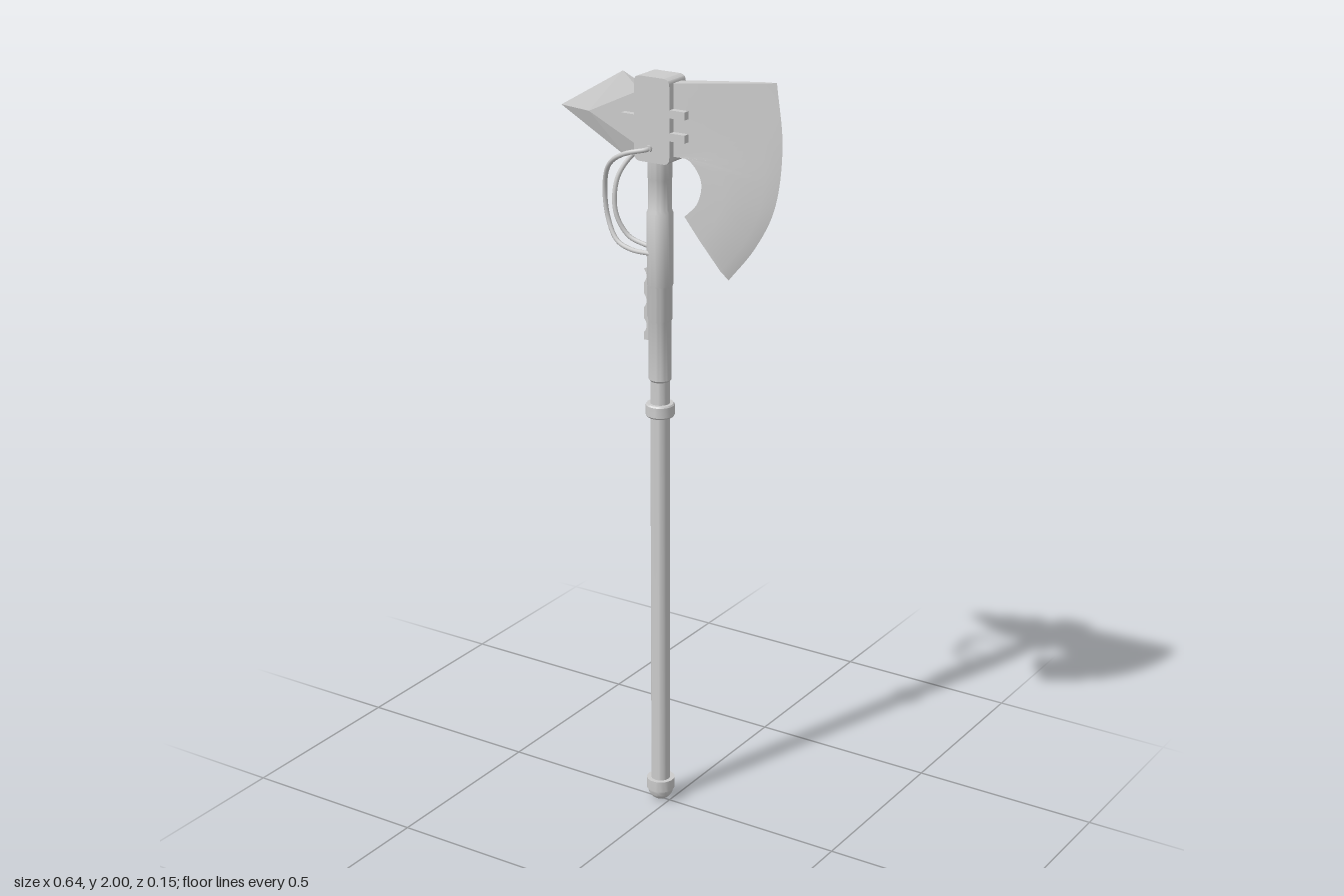
import * as THREE from 'three';
import { toCreasedNormals } from 'three/addons/utils/BufferGeometryUtils.js';
import { ConvexGeometry } from 'three/addons/geometries/ConvexGeometry.js';

const AXIS = -0.028; // x of the handle's centre line
const V2 = (x, y) => new THREE.Vector2(x, y);
const V3 = (x, y, z) => new THREE.Vector3(x, y, z);

// Lofted blade: thick at the socket, thinning to a bevelled cutting edge
function bladeGeometry() {
  const inner = new THREE.CatmullRomCurve3([[0, 1.965], [0, 1.795], [0.068, 1.782], [0.102, 1.735], [0.092, 1.68], [0.055, 1.64]]
    .map(([x, y]) => V3(x, y, 0)));
  const outer = new THREE.CatmullRomCurve3([[0.30, 2.0], [0.318, 1.845], [0.298, 1.69], [0.245, 1.585], [0.172, 1.493]]
    .map(([x, y]) => V3(x, y, 0)));
  const section = [[0, 0.018], [0.35, 0.017], [0.85, 0.01], [1, 0]];
  const ring = [...section, ...section.slice(0, -1).reverse().map(([u, t]) => [u, -t])];
  const n = ring.length, rows = 40, pos = [], idx = [];
  for (let i = 0; i <= rows; i++) {
    const a = inner.getPoint(i / rows), b = outer.getPoint(i / rows);
    for (const [u, t] of ring) pos.push(a.x + (b.x - a.x) * u, a.y + (b.y - a.y) * u, t);
  }
  for (let i = 0; i < rows; i++) {
    for (let j = 0; j < n; j++) {
      const k = (j + 1) % n, a = i * n + j, b = a + n, c = i * n + k, d = c + n;
      idx.push(a, b, d, a, d, c);
    }
  }
  // Close the top and bottom edges
  for (let j = 1; j < n - 1; j++) {
    const e = rows * n;
    idx.push(0, j, j + 1, e, e + j + 1, e + j);
  }
  const g = new THREE.BufferGeometry();
  g.setAttribute('position', new THREE.Float32BufferAttribute(pos, 3));
  g.setIndex(idx);
  return toCreasedNormals(g, 0.4);
}

export function createModel() {
  const group = new THREE.Group();
  const mat = new THREE.MeshStandardMaterial({ color: 0xcccccc });
  const add = (name, geo, x = 0, y = 0, z = 0, m = mat) => {
    const mesh = new THREE.Mesh(geo, m);
    mesh.name = name;
    mesh.position.set(x, y, z);
    group.add(mesh);
    return mesh;
  };
  const turned = (name, points) =>
    add(name, toCreasedNormals(new THREE.LatheGeometry(points.map(([r, y]) => V2(r, y)), 32), 0.6), AXIS);

  // Handle, from the bottom upwards
  const dome = [];
  for (let i = 0; i <= 8; i++) {
    const a = (i / 8) * Math.PI / 2;
    dome.push([0.034 * Math.sin(a), 0.034 - 0.034 * Math.cos(a)]);
  }
  turned('pommel', [...dome, [0.037, 0.034], [0.037, 0.064], [0, 0.064]]);
  turned('shaft', [[0, 0.05], [0.025, 0.05], [0.025, 1.11], [0, 1.11]]);
  turned('collar', [[0, 1.1], [0.034, 1.1], [0.037, 1.104], [0.037, 1.131], [0.034, 1.135], [0, 1.135]]);
  turned('grip', [[0, 1.13], [0.025, 1.13], [0.025, 1.195], [0.029, 1.2], [0.029, 1.355], [0.031, 1.36],
    [0.031, 1.445], [0.033, 1.45], [0.033, 1.635], [0.029, 1.645], [0.029, 1.72], [0.031, 1.725], [0.031, 1.785], [0, 1.785]]);

  // Scalloped finger plate on the grip
  const plate = new THREE.Shape([V2(-0.03, 1.3), V2(-0.068, 1.3)]);
  for (const y of [1.32, 1.385, 1.45]) {
    plate.lineTo(-0.068, y);
    plate.quadraticCurveTo(-0.053, y + 0.018, -0.068, y + 0.036);
  }
  plate.lineTo(-0.06, 1.49);
  plate.lineTo(-0.03, 1.49);
  const plateGeo = new THREE.ExtrudeGeometry(plate, { depth: 0.024, bevelEnabled: false, curveSegments: 8 });
  add('fingerPlate', plateGeo, 0, 0, -0.012);

  // Head block with softened corners
  const [l, r, b, t, c] = [-0.079, 0.023, 1.768, 1.98, 0.018];
  const block = new THREE.Shape();
  block.moveTo(l + c, b);
  block.lineTo(r - c, b);
  block.quadraticCurveTo(r, b, r, b + c);
  block.lineTo(r, t - c);
  block.quadraticCurveTo(r, t, r - c, t);
  block.lineTo(l + c, t);
  block.quadraticCurveTo(l, t, l, t - c);
  block.lineTo(l, b + c);
  block.quadraticCurveTo(l, b, l + c, b);
  const blockGeo = new THREE.ExtrudeGeometry(block, { depth: 0.074, bevelEnabled: false, curveSegments: 6 });
  add('headBlock', toCreasedNormals(blockGeo, 0.6), 0, 0, -0.037);

  // Clamp prongs gripping the blade and the spike
  for (const s of [1, -1]) {
    for (const y of [1.895, 1.838]) add('bladeProng', new THREE.BoxGeometry(0.06, 0.02, 0.02), 0.035, y, s * 0.025);
    add('spikeProng', new THREE.BoxGeometry(0.06, 0.022, 0.02), -0.088, 1.87, s * 0.025);
  }

  add('blade', bladeGeometry());

  // Faceted rear spike
  const spike = [V3(-0.32, 1.867, 0), V3(-0.135, 1.976, 0), V3(-0.128, 1.762, 0)];
  for (const s of [0.018, -0.018]) {
    spike.push(V3(-0.225, 1.867, s), V3(-0.075, 1.938, s), V3(-0.06, 1.79, s));
  }
  add('spike', new ConvexGeometry(spike));

  // Mirrored cable loops with end fittings
  for (const s of [1, -1]) {
    const path = new THREE.CatmullRomCurve3([[-0.034, 1.803, 0.034], [-0.036, 1.802, 0.05], [-0.085, 1.79, 0.068],
      [-0.14, 1.755, 0.053], [-0.172, 1.695, 0.028], [-0.172, 1.61, 0.018], [-0.14, 1.552, 0.025], [-0.095, 1.535, 0.028], [-0.04, 1.532, 0.024]]
      .map(([x, y, z]) => V3(x, y, z * s)));
    add('cable', new THREE.TubeGeometry(path, 64, 0.006, 10));
    add('cableFitting', new THREE.CylinderGeometry(0.009, 0.009, 0.014, 16), -0.035, 1.803, s * 0.038).rotation.x = Math.PI / 2;
  }

  return group;
}
